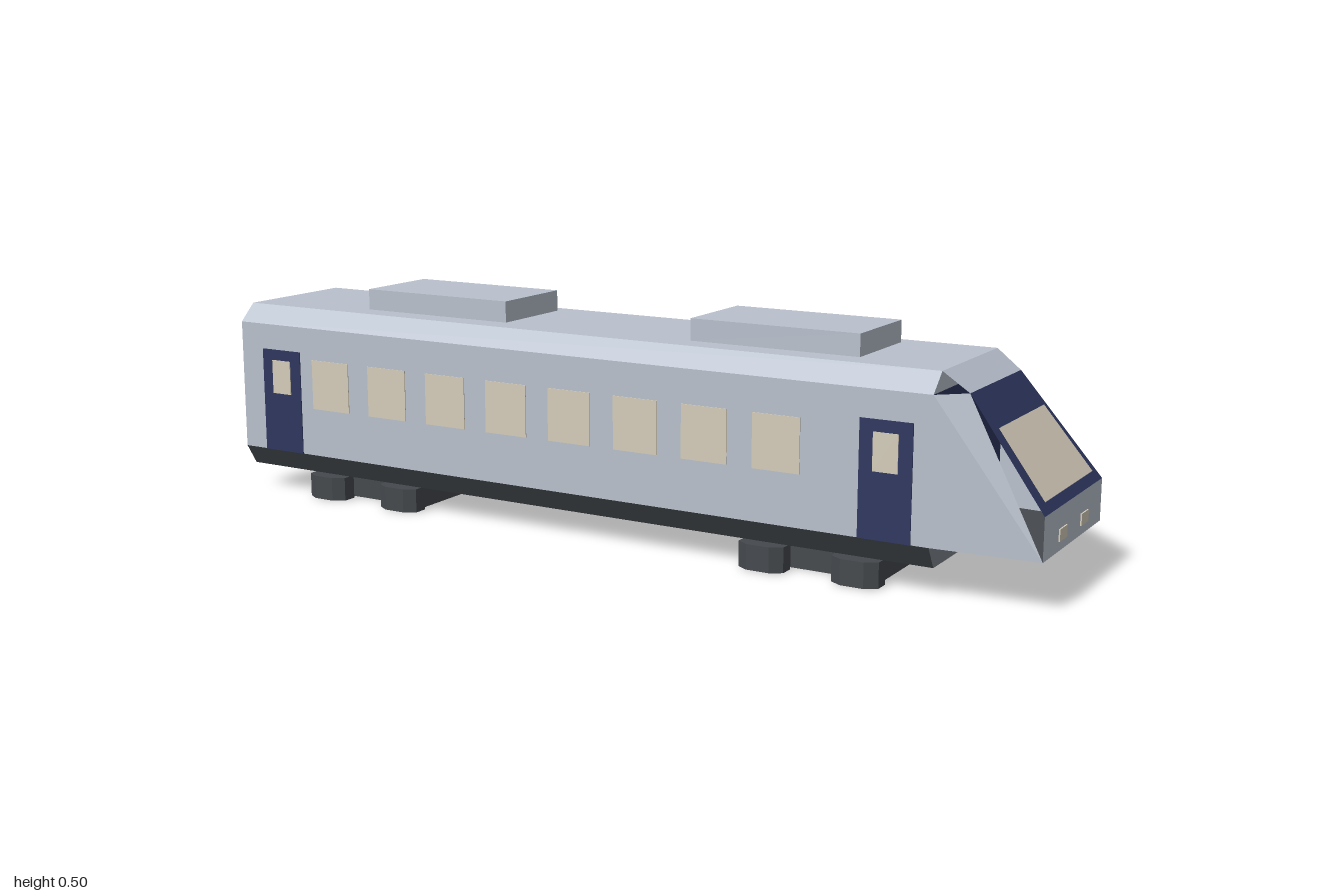
import * as THREE from 'three';

const mat = (name, color) => {
  const m = new THREE.MeshStandardMaterial({ color, side: THREE.DoubleSide });
  m.name = name;
  return m;
};

// Flat four- or three-cornered faces, corners counter-clockwise from outside
function faces(list) {
  const pos = [];
  for (const f of list) {
    for (let i = 1; i < f.length - 1; i++) pos.push(...f[0], ...f[i], ...f[i + 1]);
  }
  const g = new THREE.BufferGeometry();
  g.setAttribute('position', new THREE.Float32BufferAttribute(pos, 3));
  g.computeVertexNormals();
  return g;
}

// Mirror faces across z = 0, keeping them facing outwards
const mirrored = (list) =>
  list.concat(list.map((f) => f.map(([x, y, z]) => [x, y, -z]).reverse()));

function extrude(points, depth) {
  const shape = new THREE.Shape(points.map(([x, y]) => new THREE.Vector2(x, y)));
  return new THREE.ExtrudeGeometry(shape, { depth, bevelEnabled: false });
}

export function createModel() {
  const grey = mat('body grey', 0xb9c1cd);
  const navy = mat('navy trim', 0x2e365f);
  const cream = mat('cream glass', 0xd5cdba);
  const dark = mat('dark underframe', 0x45494d);

  const model = new THREE.Group();
  model.name = 'railcar';
  const add = (name, geometry, material, parent = model) => {
    const m = new THREE.Mesh(geometry, material);
    m.name = name;
    parent.add(m);
    return m;
  };
  const box = (name, material, x0, x1, y0, y1, z0, z1) =>
    add(name, new THREE.BoxGeometry(x1 - x0, y1 - y0, z1 - z0), material)
      .position.set((x0 + x1) / 2, (y0 + y1) / 2, (z0 + z1) / 2);

  const back = -1, end = 0.77, tip = 0.995, brow = 0.825;
  const low = 0.105, eave = 0.41, top = 0.45, sill = 0.195;
  const w = 0.195, roofW = 0.153, browW = 0.145, tipW = 0.18;

  // Main body with navy ends
  box('body', [navy, navy, grey, grey, grey, grey], back, end, low, eave, -w, w);

  // Bevelled roof
  const roof = extrude([[-w, eave], [w, eave], [roofW, top], [-roofW, top]], end - back);
  roof.rotateY(Math.PI / 2);
  add('roof', roof, grey).position.x = back;

  // Tapered skirt, open towards the nose
  const sy = 0.057, sw = 0.166;
  add('skirt', faces([
    ...mirrored([[[back, sy, sw], [end, sy, sw], [end, low, w], [back, low, w]]]),
    [[back, sy, -sw], [end, sy, -sw], [end, sy, sw], [back, sy, sw]],
    [[back, sy, -sw], [back, sy, sw], [back, low, w], [back, low, -w]],
  ]), dark);

  // Wedge nose
  add('noseShell', faces([
    ...mirrored([
      [[end, low, w], [tip, low, tipW], [end, eave, w]],
      [[end, eave, w], [tip, low, tipW], [brow, eave, browW]],
    ]),
    [[end, top, roofW], [brow, eave, browW], [brow, eave, -browW], [end, top, -roofW]],
    [[tip, low, tipW], [tip, low, -tipW], [tip, sill, -tipW], [tip, sill, tipW]],
  ]), grey);
  add('noseFloor', faces([
    [[end, low, -w], [tip, low, -tipW], [tip, low, tipW], [end, low, w]],
  ]), dark);
  add('windscreenFrame', faces([
    [[tip, sill, tipW], [tip, sill, -tipW], [brow, eave, -browW], [brow, eave, browW]],
  ]), navy);

  // Windscreen lies just proud of the sloping frame
  const onSlope = (y, z) => {
    const t = (y - sill) / (eave - sill);
    return [tip + (brow - tip) * t + 0.003, y + 0.0024, z];
  };
  add('windscreen', faces([
    [onSlope(0.213, 0.148), onSlope(0.213, -0.148), onSlope(0.343, -0.133), onSlope(0.343, 0.133)],
  ]), cream);

  for (const s of [-1, 1]) {
    // Headlights
    box('headlight', cream, tip, tip + 0.003, 0.125, 0.15, s * 0.0675 - 0.0225, s * 0.0675 + 0.0225);

    // Side windows and doors
    const plate = (name, material, x0, x1, y0, y1, t) =>
      box(name, material, x0, x1, y0, y1, s * (w + t / 2) - t / 2, s * (w + t / 2) + t / 2);
    for (let i = 0; i < 8; i++) {
      const x = -0.73 + i * 0.1664;
      plate('sideWindow', cream, x - 0.054, x + 0.054, 0.218, 0.335, 0.002);
    }
    for (const x of [-0.878, 0.675]) {
      plate('door', navy, x - 0.057, x + 0.057, low, 0.35, 0.002);
      plate('doorWindow', cream, x - 0.027, x + 0.027, 0.245, 0.325, 0.004);
    }
  }

  // Roof equipment
  for (const x of [-0.485, 0.38]) box('roofUnit', grey, x - 0.195, x + 0.195, 0.452, 0.5, -0.105, 0.105);

  // Bogies: a central frame with four chamfered wheel blocks
  const a = 0.052, b = 0.0325, ca = 0.026, cb = 0.016;
  const wheel = extrude([
    [-a, -b + cb], [-a + ca, -b], [a - ca, -b], [a, -b + cb],
    [a, b - cb], [a - ca, b], [-a + ca, b], [-a, b - cb],
  ], 0.055);
  wheel.rotateX(-Math.PI / 2);
  for (const x of [-0.657, 0.502]) {
    const bogie = new THREE.Group();
    bogie.name = 'bogie';
    bogie.position.x = x;
    model.add(bogie);
    add('bogieFrame', new THREE.BoxGeometry(0.29, 0.057, 0.264), dark, bogie).position.y = 0.0285;
    for (const sx of [-1, 1]) {
      for (const sz of [-1, 1]) {
        add('wheelBlock', wheel, dark, bogie).position.set(sx * 0.106, 0, sz * 0.1625);
      }
    }
  }

  return model;
}
